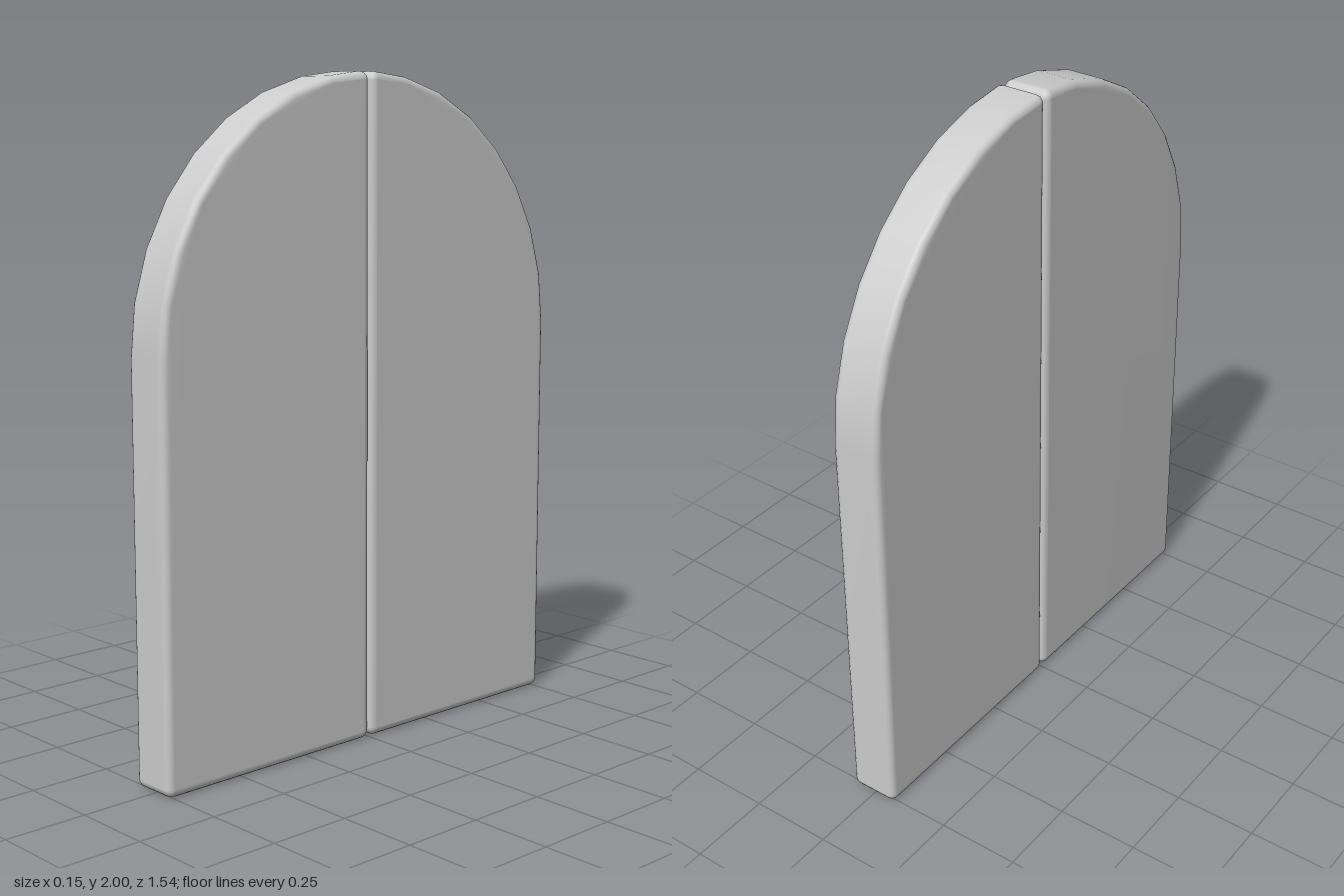
import * as THREE from 'three';
import { mergeVertices } from 'three/addons/utils/BufferGeometryUtils.js';

const WIDTH = 0.77;      // outer edge of a leaf
const GAP = 0.002;       // half the seam between the leaves
const HEIGHT = 2;
const SPRING = 1.22;     // height where the arch begins
const THICK = 0.152;
const ROUND = 0.026;     // corner radius of the outline
const BEVEL = 0.022;     // edge rounding across the thickness

// Half-arch outline with softened corners
function leafOutline() {
  const pts = [];
  const corner = (cx, cy, startDeg) => {
    for (let i = 0; i <= 4; i++) {
      const a = THREE.MathUtils.degToRad(startDeg + i * 22.5);
      pts.push(new THREE.Vector2(cx + ROUND * Math.cos(a), cy + ROUND * Math.sin(a)));
    }
  };
  corner(WIDTH - ROUND, ROUND, -90);
  for (let i = 0; i < 8; i++) {
    const a = (i / 8) * Math.PI / 2;
    pts.push(new THREE.Vector2(WIDTH * Math.cos(a), SPRING + (HEIGHT - SPRING) * Math.sin(a)));
  }
  corner(GAP + ROUND, HEIGHT - ROUND, 90);
  corner(GAP + ROUND, ROUND, 180);
  return new THREE.Shape(pts);
}

function leafGeometry() {
  const depth = THICK - 2 * BEVEL;
  const geo = new THREE.ExtrudeGeometry(leafOutline(), {
    depth, bevelEnabled: true, bevelThickness: BEVEL, bevelSize: BEVEL,
    bevelOffset: -BEVEL, bevelSegments: 4,
  });
  geo.translate(0, 0, -depth / 2);
  geo.rotateY(-Math.PI / 2); // outline runs along z, thickness along x
  // Weld for smooth, area-weighted normals
  geo.deleteAttribute('uv');
  geo.deleteAttribute('normal');
  const welded = mergeVertices(geo, 1e-4);
  welded.computeVertexNormals();
  return welded;
}

export function createModel() {
  const group = new THREE.Group();
  group.name = 'archedDoubleDoor';
  const material = new THREE.MeshStandardMaterial({ color: 0xcccccc });
  const geometry = leafGeometry();

  // Two matching leaves meeting at the centre
  ['frontLeaf', 'backLeaf'].forEach((name, i) => {
    const leaf = new THREE.Mesh(geometry, material);
    leaf.name = name;
    leaf.rotation.y = i * Math.PI;
    group.add(leaf);
  });
  return group;
}
